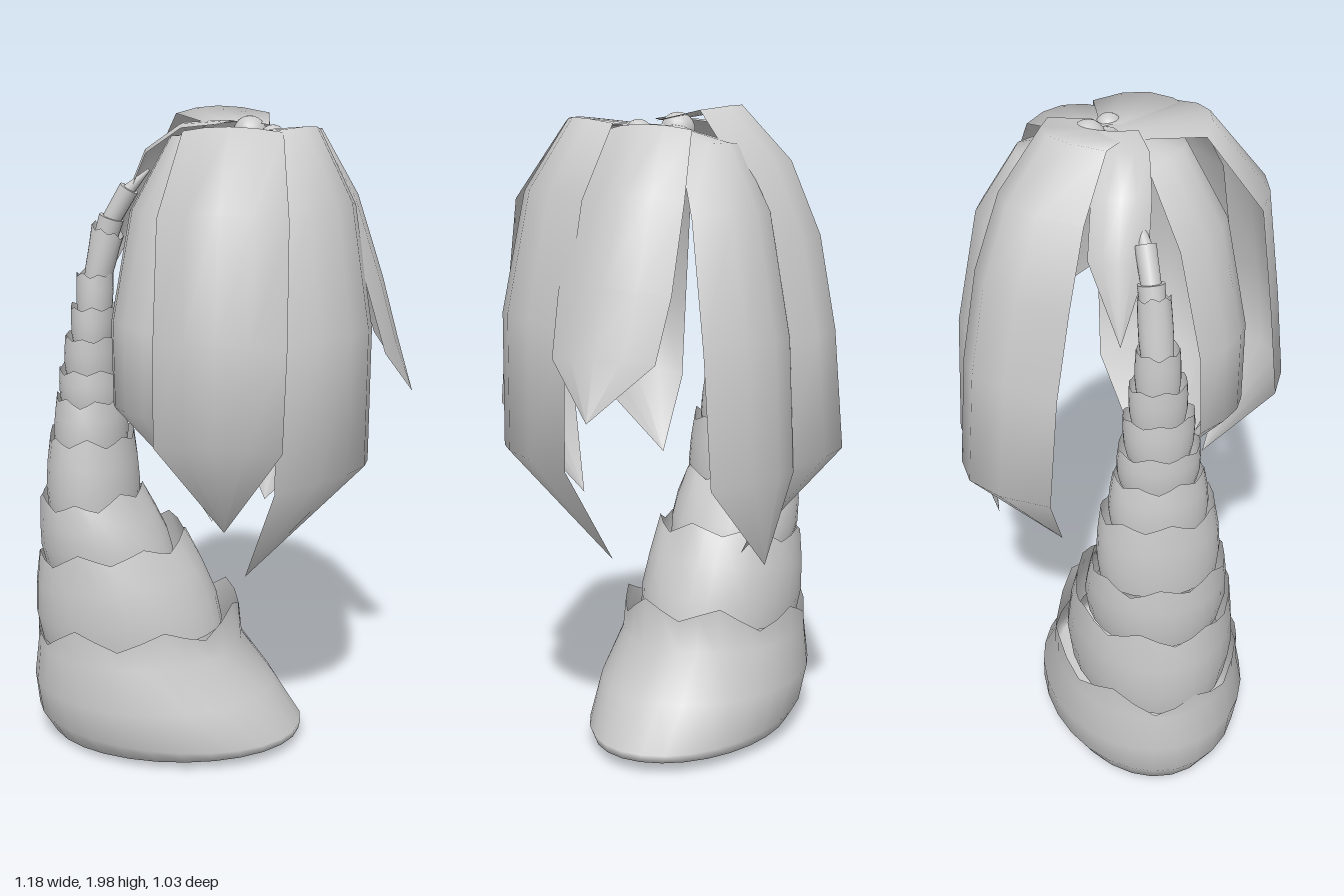
import * as THREE from 'three';

const material = new THREE.MeshStandardMaterial({ color: 0xcccccc, side: THREE.DoubleSide });

// Skin a grid of points (rows x cols) with smooth normals
function skin(name, rows, closed) {
  const cols = rows[0].length, pos = rows.flat(2), index = [];
  for (let i = 0; i < rows.length - 1; i++) {
    for (let j = 0; j < (closed ? cols : cols - 1); j++) {
      const k = (j + 1) % cols;
      const a = i * cols + j, b = i * cols + k, c = a + cols, d = b + cols;
      index.push(a, c, b, b, c, d);
    }
  }
  const geometry = new THREE.BufferGeometry();
  geometry.setAttribute('position', new THREE.Float32BufferAttribute(pos, 3));
  geometry.setIndex(index);
  geometry.computeVertexNormals();
  const mesh = new THREE.Mesh(geometry, material);
  mesh.name = name;
  return mesh;
}

// Elliptical ring given as [xMin, xMax, y, zRadius, slope], with an optional ragged rim
function ring([x0, x1, y, rz, slope = 0], jag = 0, phase = 0) {
  const n = 28, points = [];
  for (let j = 0; j < n; j++) {
    const t = (j / n) * Math.PI * 2, rx = (x1 - x0) / 2, dx = rx * Math.cos(t);
    const rag = jag * (Math.abs(((j + phase) % 4) - 2) - 1 + 0.4 * Math.sin(3 * t + phase));
    points.push([(x0 + x1) / 2 + dx, y + slope * dx + rag, -rz * Math.sin(t) - 0.015 * Math.min(y, 1)]);
  }
  return points;
}

const widen = ([x0, x1, y, rz, s = 0], f) => {
  const c = (x0 + x1) / 2, r = (x1 - x0) / 2 * f;
  return [c - r, c + r, y, rz * f, s];
};

// Leaf blade: spine rows of [x, y, z, halfWidth], arched across its width
function frond(name, angle, bow, spine) {
  const ox = Math.sin(angle), oz = Math.cos(angle);
  const rows = spine.map(([x, y, z, w]) => [-1, -0.5, 0, 0.5, 1].map(j => {
    const back = bow * w * j * j;
    return [x + oz * w * j - ox * back, y - 0.12 * w * j * j, z - ox * w * j - oz * back];
  }));
  return skin(name, rows, false);
}

export function createModel() {
  const model = new THREE.Group();

  // Swollen foot of the trunk, closed underneath
  const foot = [
    [-0.15, -0.15, 0.012, 0], [-0.49, 0.18, 0.008, 0.23, 0.02], [-0.535, 0.275, 0.03, 0.275, 0.03],
    [-0.58, 0.28, 0.08, 0.305, -0.03], [-0.59, 0.19, 0.2, 0.315], [-0.575, 0.085, 0.33, 0.285, 0.02],
  ].map(r => ring(r));
  foot.push(ring([-0.575, 0.075, 0.41, 0.28, 0.13], 0.03, 1));
  const trunk = new THREE.Group();
  trunk.name = 'trunk';
  trunk.add(skin('trunkFoot', foot, true));

  // Overlapping bark collars, each from a lower ring to a ragged upper rim
  const collars = [
    [[-0.565, 0.02, 0.36, 0.24, 0.1], [-0.565, -0.1, 0.65, 0.23, 0.13]],
    [[-0.545, -0.14, 0.6, 0.2, 0.08], [-0.555, -0.24, 0.81, 0.195, 0.06]],
    [[-0.53, -0.25, 0.77, 0.175], [-0.52, -0.265, 1.0, 0.165]],
    [[-0.505, -0.285, 0.96, 0.14], [-0.495, -0.29, 1.12, 0.13]],
    [[-0.48, -0.3, 1.09, 0.11], [-0.485, -0.3, 1.21, 0.115]],
    [[-0.465, -0.315, 1.18, 0.09], [-0.465, -0.31, 1.31, 0.1]],
    [[-0.44, -0.325, 1.28, 0.075], [-0.445, -0.31, 1.4, 0.08]],
    [[-0.425, -0.325, 1.37, 0.06], [-0.425, -0.315, 1.5, 0.06]],
    [[-0.405, -0.325, 1.47, 0.045], [-0.375, -0.28, 1.63, 0.045, -0.4]],
  ];
  collars.forEach(([low, high], i) => {
    const at = t => low.map((v, k) => v + ((high[k] ?? 0) - v) * t);
    const rag = Math.max(0.006, 0.02 - i * 0.003);
    trunk.add(skin('barkCollar' + (i + 1), [
      ring(low), ring(widen(at(0.3), 1.06)), ring(widen(at(0.65), 1.05)), ring(high, rag, i * 3),
    ], true));
  });

  // Slender tip bending towards the crown and ending in a point
  const bend = new THREE.CatmullRomCurve3([
    [-0.355, 1.55], [-0.32, 1.66], [-0.265, 1.75], [-0.2, 1.81],
  ].map(([x, y]) => new THREE.Vector3(x, y, -0.02)));
  for (let i = 0; i < 3; i++) {
    const a = bend.getPointAt(i / 3), b = bend.getPointAt(Math.min(1, (i + 1.2) / 3));
    const top = [0.038, 0.03, 0.004][i], bottom = [0.034, 0.028, 0.022][i];
    const piece = new THREE.Mesh(new THREE.CylinderGeometry(top, bottom, a.distanceTo(b), 14), material);
    piece.position.copy(a).lerp(b, 0.5);
    piece.quaternion.setFromUnitVectors(new THREE.Vector3(0, 1, 0), b.clone().sub(a).normalize());
    piece.name = 'trunkTip' + (i + 1);
    trunk.add(piece);
  }
  model.add(trunk);

  // Drooping fronds whose ends curl inwards
  const crown = new THREE.Group();
  crown.name = 'crown';
  crown.add(
    frond('frontFrond', 0, 0.4, [
      [0.08, 1.93, 0, 0.05], [0.09, 1.955, 0.27, 0.14], [0.09, 1.74, 0.445, 0.18],
      [0.09, 1.4, 0.49, 0.185], [0.09, 1.12, 0.52, 0.18], [0.08, 0.8, 0.28, 0]]),
    frond('frontLeftFrond', 1.03, 0.4, [
      [0.12, 1.93, 0.02, 0.05], [0.28, 1.95, 0.15, 0.15], [0.38, 1.75, 0.23, 0.2],
      [0.435, 1.4, 0.275, 0.22], [0.435, 1.0, 0.28, 0.22], [0.12, 0.61, 0.14, 0]]),
    frond('backRightFrond', Math.PI + 0.34, 0.65, [
      [0.06, 1.95, -0.07, 0.08], [-0.03, 1.985, -0.22, 0.14], [-0.09, 1.83, -0.35, 0.185],
      [-0.125, 1.62, -0.43, 0.21], [-0.135, 1.35, -0.48, 0.215], [-0.14, 1.0, -0.51, 0.215],
      [-0.05, 0.65, -0.22, 0]]),
    frond('backLeftFrond', Math.PI - 0.15, 0.5, [
      [0.1, 1.92, -0.1, 0.05], [0.14, 1.88, -0.28, 0.13], [0.17, 1.7, -0.39, 0.17],
      [0.18, 1.35, -0.46, 0.19], [0.18, 0.97, -0.48, 0.185], [0.1, 0.68, -0.39, 0]]),
    frond('leftFrond', 1.75, 0.35, [
      [0.14, 1.93, -0.07, 0.05], [0.3, 1.93, -0.1, 0.13], [0.41, 1.74, -0.11, 0.16],
      [0.49, 1.5, -0.11, 0.17], [0.54, 1.32, -0.11, 0.155], [0.59, 1.15, -0.12, 0]]),
    frond('frontRightFrond', -0.72, 0.4, [
      [0.05, 1.93, 0.03, 0.05], [-0.07, 1.92, 0.14, 0.12], [-0.16, 1.72, 0.23, 0.15],
      [-0.21, 1.4, 0.28, 0.15], [-0.21, 1.15, 0.28, 0.14], [-0.1, 0.92, 0.1, 0]]),
    frond('smallRightFrond', -1.85, 0.4, [
      [0.02, 1.955, -0.02, 0.06], [-0.1, 1.945, -0.05, 0.085], [-0.21, 1.87, -0.07, 0.08],
      [-0.28, 1.72, -0.1, 0.08], [-0.34, 1.5, -0.11, 0]]),
  );

  // Round fruits at the heart of the crown
  [[0.09, 1.915, -0.08, 0.05], [0.17, 1.905, 0.0, 0.04]].forEach(([x, y, z, r]) => {
    const fruit = new THREE.Mesh(new THREE.SphereGeometry(r, 16, 12), material);
    fruit.position.set(x, y, z);
    fruit.name = 'fruit';
    crown.add(fruit);
  });
  model.add(crown);
  return model;
}
